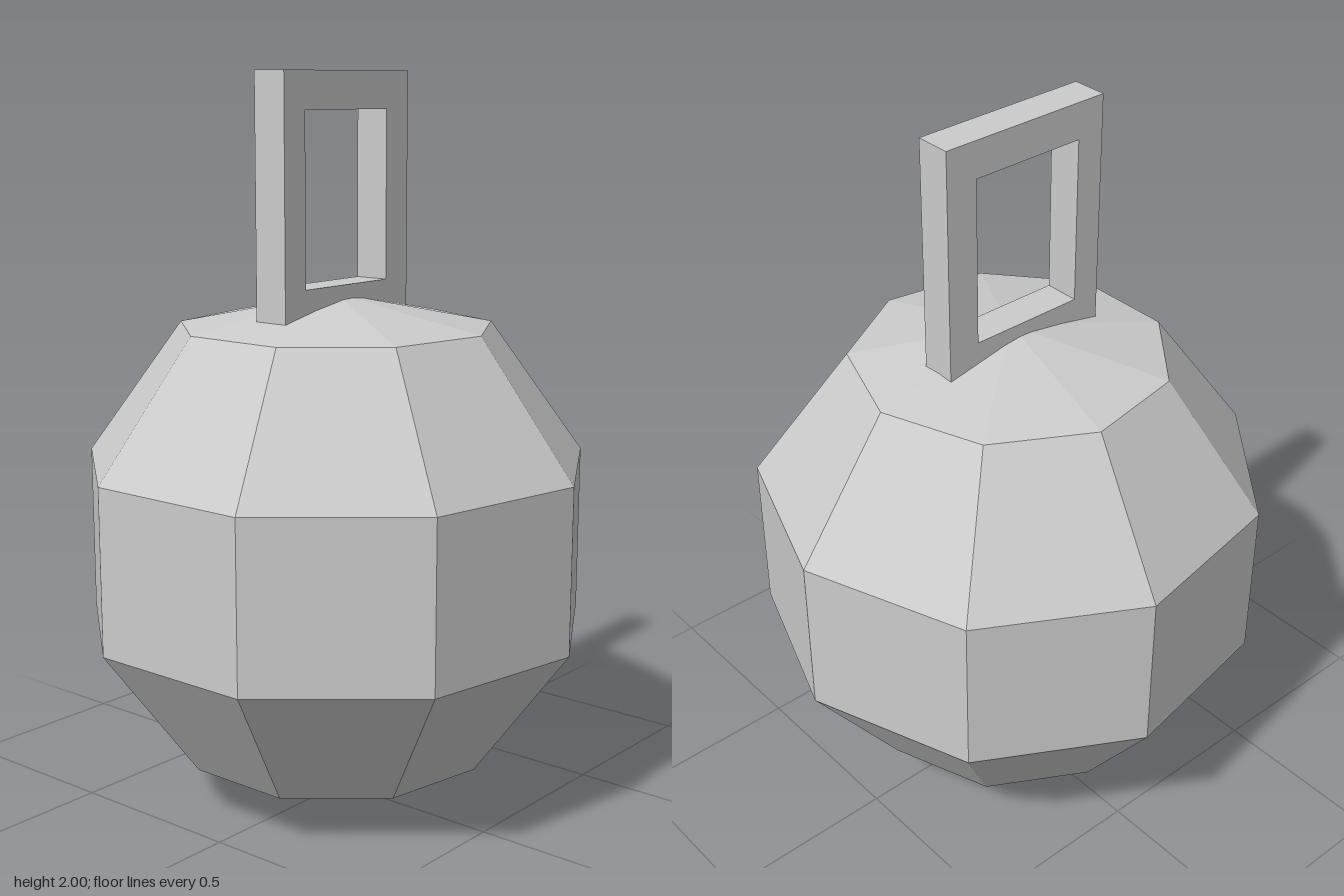
import * as THREE from 'three';

const material = new THREE.MeshStandardMaterial({ color: 0xcccccc, flatShading: true });

// Nine-sided faceted ball with a slightly flattened crown
function createBall() {
  const radius = 0.735, sides = 9, rings = 5, crownY = 1.415;
  const profile = [];
  for (let i = 0; i <= rings; i++) {
    const a = (i / rings) * Math.PI;
    const y = i === rings ? crownY : radius - radius * Math.cos(a);
    profile.push(new THREE.Vector2(i === rings ? 0 : radius * Math.sin(a), y));
  }
  // One corner of each ring points to the back, one flat to the front
  const ball = new THREE.Mesh(new THREE.LatheGeometry(profile, sides, Math.PI), material);
  ball.name = 'ball';
  ball.position.z = 0.019;
  return ball;
}

// Closed path for an upright rectangle, in (z, y)
function rectangle(path, z0, z1, y0, y1) {
  path.moveTo(z0, y0);
  path.lineTo(z1, y0);
  path.lineTo(z1, y1);
  path.lineTo(z0, y1);
  path.closePath();
  return path;
}

// Rectangular frame handle, its foot sunk into the crown
function createHandle() {
  const thickness = 0.1;
  const frame = rectangle(new THREE.Shape(), -0.28, 0.225, 1.34, 2);
  frame.holes.push(rectangle(new THREE.Path(), -0.2, 0.133, 1.443, 1.9));
  const geometry = new THREE.ExtrudeGeometry(frame, { depth: thickness, bevelEnabled: false });
  geometry.translate(0, 0, -thickness / 2);
  geometry.rotateY(Math.PI / 2); // shape x runs to -z
  const handle = new THREE.Mesh(geometry, material);
  handle.name = 'handle';
  return handle;
}

export function createModel() {
  const model = new THREE.Group();
  model.name = 'ballWithHandle';
  model.add(createBall(), createHandle());
  return model;
}
